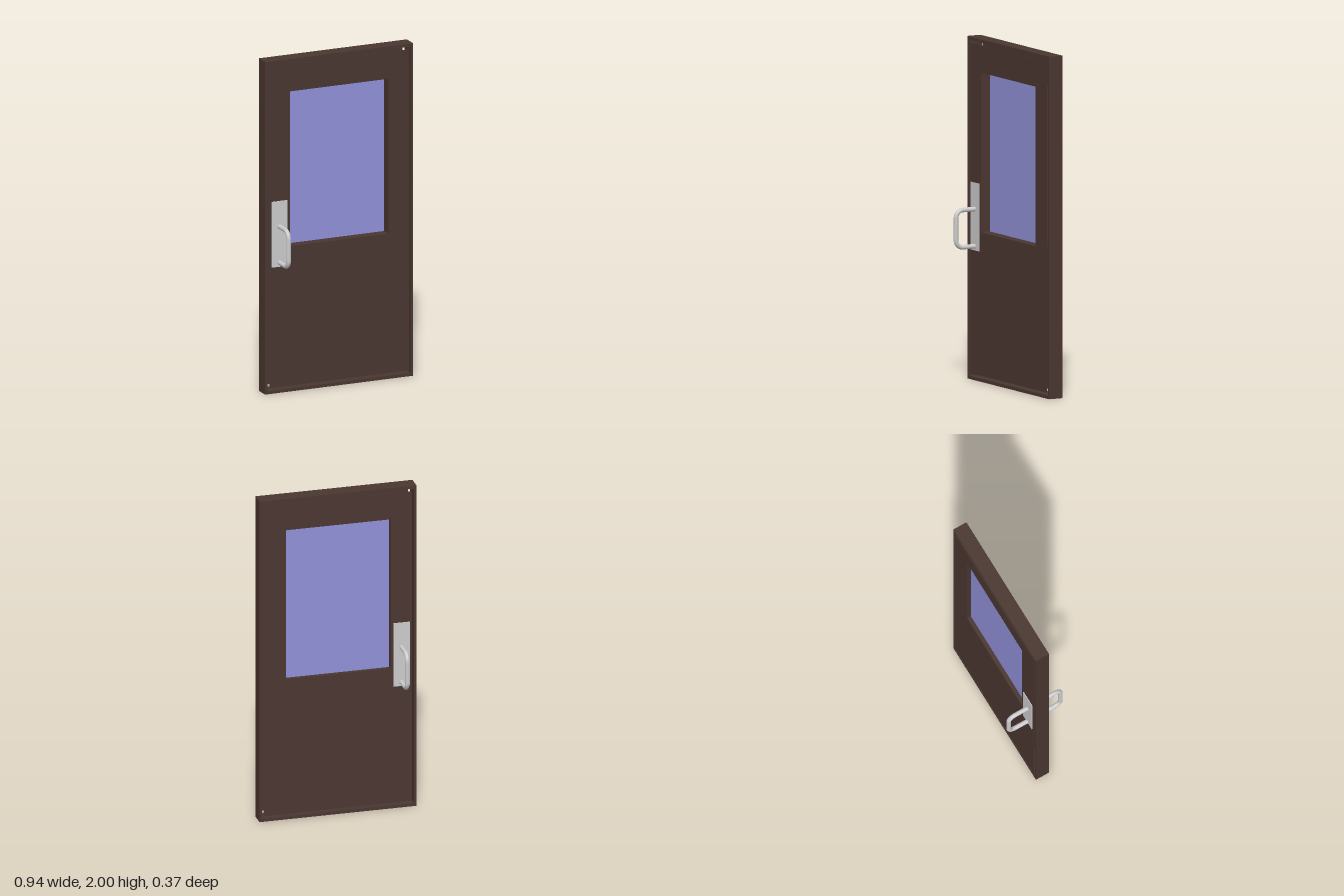
import * as THREE from 'three';

const D = 0.044; // half depth of the door

const brown = new THREE.MeshStandardMaterial({ color: 0x4a3630 });
const glassBlue = new THREE.MeshStandardMaterial({ color: 0x9090d8 });
const grey = new THREE.MeshStandardMaterial({ color: 0xcccccc });

// Rectangle centred on x = 0 between two heights
function rect(Type, halfW, y0, y1) {
  const p = new Type();
  p.moveTo(-halfW, y0);
  p.lineTo(halfW, y0);
  p.lineTo(halfW, y1);
  p.lineTo(-halfW, y1);
  p.closePath();
  return p;
}

// Rectangular ring: outer and inner are [halfWidth, bottom, top], spanning z0..z1
function ring(name, outer, inner, z0, z1) {
  const shape = rect(THREE.Shape, ...outer);
  shape.holes.push(rect(THREE.Path, ...inner));
  const geo = new THREE.ExtrudeGeometry(shape, { depth: z1 - z0, bevelEnabled: false });
  geo.translate(0, 0, z0);
  const mesh = new THREE.Mesh(geo, brown);
  mesh.name = name;
  return mesh;
}

function box(name, w, h, d, x, y, z, material) {
  const mesh = new THREE.Mesh(new THREE.BoxGeometry(w, h, d), material);
  mesh.position.set(x, y, z);
  mesh.name = name;
  return mesh;
}

// Rounded U-shaped pull bar, opening towards the door
function handleGeometry() {
  const z0 = D - 0.004, z1 = 0.173, y0 = 0.784, y1 = 1.001, r = 0.045;
  const v = (y, z) => new THREE.Vector3(0, y, z);
  const path = new THREE.CurvePath();
  // Quarter bend with near-circular control points
  const bend = (a, corner, b) => new THREE.CubicBezierCurve3(
    a, a.clone().lerp(corner, 0.55), b.clone().lerp(corner, 0.55), b);
  path.add(new THREE.LineCurve3(v(y0, z0), v(y0, z1 - r)));
  path.add(bend(v(y0, z1 - r), v(y0, z1), v(y0 + r, z1)));
  path.add(new THREE.LineCurve3(v(y0 + r, z1), v(y1 - r, z1)));
  path.add(bend(v(y1 - r, z1), v(y1, z1), v(y1, z1 - r)));
  path.add(new THREE.LineCurve3(v(y1, z1 - r), v(y1, z0)));
  return new THREE.TubeGeometry(path, 60, 0.0135, 16, false);
}

export function createModel() {
  const door = new THREE.Group();
  door.name = 'door';

  const windowHole = [0.313, 0.874, 1.805];
  const leaf = [0.442, 0.035, 1.965];

  // Outer frame, separated from the leaf by a narrow slot
  door.add(ring('frame', [0.47, 0, 2], [0.455, 0.019, 1.981], -D, D));

  // Hollow leaf: two thin skins joined by the window lining
  const t = 0.003;
  door.add(ring('frontSkin', leaf, windowHole, D - t, D));
  door.add(ring('backSkin', leaf, windowHole, -D, -D + t));
  door.add(ring('windowLining', [0.317, 0.87, 1.809], windowHole, -D + t, D - t));

  // Window pane, set towards the back
  door.add(box('windowPane', 0.626, 0.931, 0.004, 0, 1.3395, -0.017, glassBlue));

  // Plate and pull handle on both faces
  const geo = handleGeometry();
  for (const [side, s] of [['front', 1], ['back', -1]]) {
    door.add(box(side + 'Plate', 0.097, 0.395, 0.004, -0.38, 0.957, s * (D + 0.002), grey));
    const handle = new THREE.Mesh(geo, grey);
    handle.name = side + 'Handle';
    handle.position.x = -0.38;
    if (s < 0) handle.rotation.y = Math.PI;
    door.add(handle);
  }
  return door;
}
